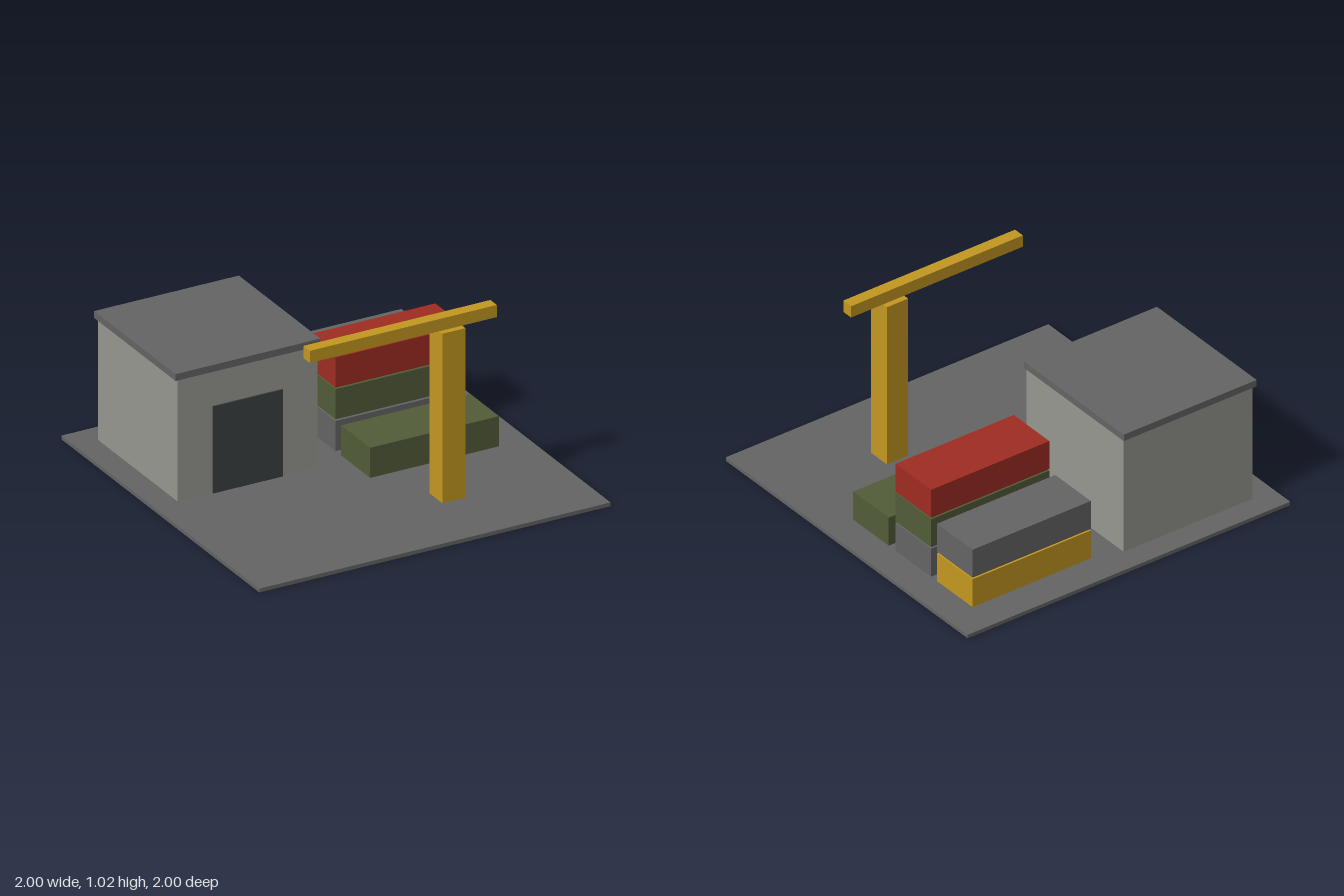
import * as THREE from 'three';

export function createModel() {
  const model = new THREE.Group();
  model.name = 'containerYard';

  const material = (name, color) => {
    const m = new THREE.MeshStandardMaterial({ color });
    m.name = name;
    return m;
  };
  const grey = material('grey', 0x656565);
  const wall = material('wallGrey', 0x989892);
  const dark = material('doorDark', 0x3a4042);
  const green = material('green', 0x525c38);
  const red = material('red', 0xa02c22);
  const yellow = material('yellow', 0xc49820);

  // Box given by its minimum and maximum on each axis
  function box(parent, name, mat, [x0, x1], [y0, y1], [z0, z1]) {
    const mesh = new THREE.Mesh(new THREE.BoxGeometry(x1 - x0, y1 - y0, z1 - z0), mat);
    mesh.position.set((x0 + x1) / 2, (y0 + y1) / 2, (z0 + z1) / 2);
    mesh.name = name;
    parent.add(mesh);
  }
  function group(name) {
    const g = new THREE.Group();
    g.name = name;
    model.add(g);
    return g;
  }

  const floor = 0.021;
  box(model, 'ground', grey, [-1, 1], [0, floor], [-1, 1]);

  // Warehouse with overhanging flat roof and a thin door panel
  const warehouse = group('warehouse');
  box(warehouse, 'walls', wall, [-0.866, -0.068], [floor, 0.691], [-0.866, -0.064]);
  box(warehouse, 'roof', grey, [-0.881, -0.057], [0.691, 0.729], [-0.881, -0.057]);
  box(warehouse, 'door', dark, [-0.668, -0.27], [floor, 0.5], [-0.064, -0.0555]);

  // Container stacks, listed front to back, each from the bottom up
  const containers = group('containers');
  const stacks = [
    { z: 0.025, colors: [green] },
    { z: -0.325, colors: [grey, green, red] },
    { z: -0.668, colors: [yellow, grey] },
  ];
  for (const { z, colors } of stacks) {
    colors.forEach((mat, level) => {
      const y = floor + level * 0.175;
      box(containers, 'container', mat, [0.098, 0.831], [y, y + 0.166], [z - 0.147, z + 0.147]);
    });
  }

  // Crane
  const crane = group('crane');
  box(crane, 'mast', yellow, [0.268, 0.399], [floor, 0.955], [0.468, 0.599]);
  box(crane, 'jib', yellow, [-0.468, 0.597], [0.955, 1.022], [0.501, 0.566]);

  return model;
}
